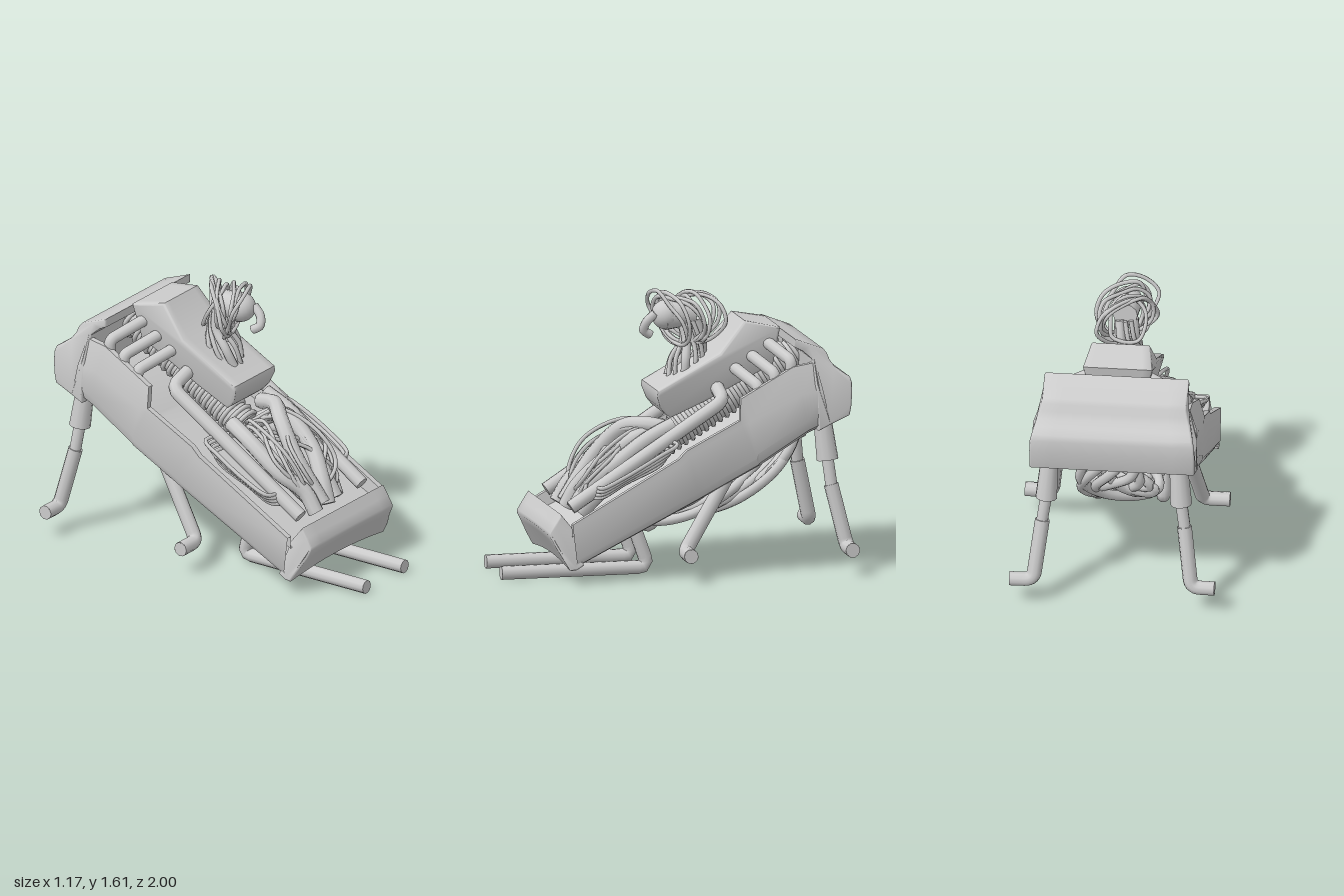
import * as THREE from 'three';
import { toCreasedNormals } from 'three/addons/utils/BufferGeometryUtils.js';

const mat = new THREE.MeshStandardMaterial({ color: 0xcccccc, side: THREE.DoubleSide });
const V = (p) => new THREE.Vector3(...p);
const smooth = THREE.MathUtils.smoothstep;

let seed = 7;
const rand = () => (seed = (seed * 16807) % 2147483647) / 2147483647;
const spread = (r) => (rand() * 2 - 1) * r;

function add(parent, geometry, name) {
  const mesh = new THREE.Mesh(geometry, mat);
  mesh.name = name;
  parent.add(mesh);
  return mesh;
}

// Tube along any curve, with flat end caps
function tube(parent, curve, radius, name, segments = 28, sides = 8, closed = false) {
  const mesh = add(parent, new THREE.TubeGeometry(curve, segments, radius, sides, closed), name);
  if (closed) return mesh;
  for (const t of [0, 1]) {
    const cap = add(mesh, new THREE.CircleGeometry(radius, sides), name + 'Cap');
    const p = curve.getPointAt(t);
    cap.position.copy(p);
    cap.lookAt(p.clone().addScaledVector(curve.getTangentAt(t), t ? 1 : -1));
  }
  return mesh;
}
const cable = (parent, points, radius, name) =>
  tube(parent, new THREE.CatmullRomCurve3(points.map(V)), radius, name, 36, radius < 0.02 ? 6 : 9);

// Straight pipe runs joined by short elbows
function pipe(parent, points, radius, name, elbow = 0.06) {
  const p = points.map(V), path = new THREE.CurvePath();
  let from = p[0];
  for (let i = 1; i < p.length - 1; i++) {
    const a = p[i].clone().add(p[i - 1].clone().sub(p[i]).setLength(elbow));
    const b = p[i].clone().add(p[i + 1].clone().sub(p[i]).setLength(elbow));
    path.add(new THREE.LineCurve3(from, a));
    path.add(new THREE.QuadraticBezierCurve3(a, p[i], b));
    from = b;
  }
  path.add(new THREE.LineCurve3(from, p[p.length - 1]));
  return tube(parent, path, radius, name, 40, 10);
}

function rod(parent, a, b, ra, rb, name) {
  const A = V(a), B = V(b), d = B.clone().sub(A);
  const m = add(parent, new THREE.CylinderGeometry(rb, ra, d.length(), 12), name);
  m.position.copy(A).lerp(B, 0.5);
  m.quaternion.setFromUnitVectors(new THREE.Vector3(0, 1, 0), d.normalize());
  return m;
}

// Side profile of [z, y] points extruded across x; halfWidth(z, y) shapes its sides, bow lifts its middle
function block(parent, profile, halfWidth, bevel, name, bow = 0) {
  const shape = new THREE.Shape(profile.map(([z, y]) => new THREE.Vector2(z, y)));
  const g = new THREE.ExtrudeGeometry(shape, {
    depth: 2 - 2 * bevel, steps: 8, bevelSize: bevel, bevelThickness: bevel * 2, bevelOffset: -bevel, bevelSegments: 3,
  });
  g.translate(0, 0, -(1 - bevel)).rotateY(-Math.PI / 2);
  const pos = g.attributes.position;
  for (let i = 0; i < pos.count; i++) {
    const u = pos.getX(i) / (1 + bevel), y = pos.getY(i);
    pos.setX(i, u * halfWidth(pos.getZ(i), y));
    pos.setY(i, y + bow * (1 - u * u) * smooth(0.36 - y, 0, 0.25));
  }
  return add(parent, toCreasedNormals(g, 0.75), name);
}

// Open tub lofted through U-shaped sections: [bottom z, y, top z, y, floor fraction, shoulder fraction, top half width]
function tub(parent) {
  const w = 0.468;
  const stations = [
    [0.62, 0.09, 0.65, 0.35, 0.7, 0.9, w], [-0.11, 0.455, 0.03, 0.70, 0.58, 0.9, w], [-0.16, 0.48, -0.02, 0.75, 0.55, 0.9, w],
    [-0.45, 0.63, -0.33, 0.91, 0.5, 0.9, w], [-0.46, 0.635, -0.34, 1.03, 0.4, 0.65, 0.44], [-0.74, 0.81, -0.65, 1.2, 0.43, 0.6, 0.43],
    [-0.86, 0.865, -0.78, 1.22, 0.45, 0.55, 0.425],
  ];
  const rings = stations.map(([bz, by, tz, ty, f, s, t]) => {
    const half = [[0.40, 0], [0.445, 0.06], [w, 0.2], [w, s], [t, 1], [t - 0.035, 1], [t - 0.04, f]];
    const full = [...half, ...half.map(([x, h]) => [-x, h]).reverse()];
    return full.map(([x, h]) => [x, by + (ty - by) * h, bz + (tz - bz) * h]);
  });
  const out = [];
  for (let i = 0; i < rings.length - 1; i++) {
    const n = rings[i].length;
    for (let j = 0; j < n; j++) {
      const k = (j + 1) % n;
      const a = rings[i][j], b = rings[i][k], c = rings[i + 1][k], d = rings[i + 1][j];
      out.push(...a, ...d, ...c, ...a, ...c, ...b);
    }
  }
  const g = new THREE.BufferGeometry();
  g.setAttribute('position', new THREE.Float32BufferAttribute(out, 3));
  add(parent, toCreasedNormals(g, 0.6), 'hullTub');
}

function group(parent, name) {
  const g = new THREE.Group();
  g.name = name;
  parent.add(g);
  return g;
}

export function createModel() {
  const model = new THREE.Group();
  model.name = 'cableWalker';

  // Hull with flared front lip and hooked rear hood
  const hull = group(model, 'hull');
  tub(hull);
  block(hull, [[0.70, 0.40], [0.62, 0.30], [0.58, 0.11], [0.62, 0.085], [0.66, 0.08], [0.70, 0.15], [0.74, 0.225],
    [0.765, 0.275], [0.765, 0.295], [0.735, 0.345]],
  (z, y) => 0.40 + 0.06 * smooth(0.29 - y, 0, 0.2) * smooth(0.79 - z, 0, 0.1), 0.012, 'frontLip', 0.03);
  block(hull, [[-0.66, 1.36], [-0.66, 1.31], [-0.71, 1.285], [-0.76, 1.24], [-0.77, 1.1], [-0.79, 0.83], [-0.86, 0.865], [-0.97, 0.914],
    [-0.98, 0.96], [-0.985, 1.03], [-0.985, 1.1], [-0.975, 1.135], [-0.93, 1.165], [-0.89, 1.195], [-0.865, 1.23], [-0.85, 1.27],
    [-0.83, 1.295], [-0.75, 1.325]],
  (z, y) => 0.413 + 0.058 * smooth(1.29 - y, 0, 0.22), 0.012, 'rearHood');

  // Central housing and its ribbed core
  block(model, [[0.085, 1.05], [0.09, 1.02], [0.065, 0.95], [0.035, 0.912], [0, 0.885], [-0.2, 0.97], [-0.6, 1.17], [-0.63, 1.39],
    [-0.43, 1.43], [-0.28, 1.25]],
  (z, y) => 0.2 - 0.25 * Math.abs(y - 1.08 + 0.5 * z), 0.015, 'housing');
  const core = group(model, 'ribbedCore');
  rod(core, [0, 0.73, 0.02], [0, 1.22, -0.78], 0.09, 0.09, 'coreShaft');
  for (let i = 0; i < 20; i++) {
    const ring = add(core, new THREE.TorusGeometry(0.092, 0.014, 6, 20), 'coreRib');
    ring.position.set(0, 0.74 + i * 0.0245, 0.004 - i * 0.04);
    ring.rotation.x = 0.55;
  }

  for (const s of [1, -1]) {
    const side = group(model, s > 0 ? 'leftSide' : 'rightSide');
    // Three short ribs and one long pipe from the housing
    for (const [y, z] of [[1.3, -0.56], [1.23, -0.465], [1.16, -0.37]]) {
      pipe(side, [[s * 0.14, y + 0.01, z + 0.01], [s * 0.39, y - 0.07, z - 0.085], [s * 0.395, y - 0.25, z - 0.09]], 0.034, 'ribPipe', 0.03);
    }
    pipe(side, [[s * 0.15, 1.05, -0.27], [s * 0.31, 1.0, -0.27], [s * 0.298, 0.42, 0.62]], 0.04, 'longPipe');
    // Thin cables bundled along the wall
    for (let i = 0; i < 4; i++) {
      const d = i * 0.02;
      cable(side, [[s * 0.31, 0.78 - d, 0.03 + d], [s * (0.39 - d * 0.2), 0.77 - d, 0.02 + d], [s * (0.415 - d * 0.4), 0.72 - d, 0.12],
        [s * (0.42 - d * 0.6), 0.61 - d * 0.8, 0.32], [s * (0.39 - d * 0.6), 0.54 - d, 0.45], [s * 0.3, 0.53 - d, 0.47 + d * 0.5]], 0.012, 'wallCable');
    }
    // Rear leg: socket, piston, shin and outward foot
    const rear = group(side, 'rearLeg');
    rod(rear, [s * 0.365, 0.92, -0.83], [s * 0.385, 0.65, -0.86], 0.05, 0.062, 'socket');
    rod(rear, [s * 0.385, 0.66, -0.86], [s * 0.41, 0.48, -0.88], 0.034, 0.034, 'piston');
    pipe(rear, [[s * 0.405, 0.51, -0.876], [s * 0.45, 0.155, -0.957], [s * 0.585, 0.155, -0.96]], 0.042, 'shinAndFoot', 0.05);
    // Middle and front legs
    pipe(side, [[s * 0.38, 0.57, -0.27], [s * 0.43, 0.16, -0.015], [s * 0.585, 0.16, -0.015]], 0.042, 'middleLeg', 0.05);
    pipe(side, [[s * 0.185, 0.38, 0.26], [s * 0.185, 0.04, 0.14], [s * 0.185, 0.04, 1]], 0.04, 'frontLeg');
  }

  // Thick cables spilling from under the housing
  const tangle = group(model, 'cableTangle');
  for (const path of [
    [[0.18, 0.82, 0.0], [0.13, 0.85, 0.13], [0.02, 0.82, 0.25], [-0.05, 0.66, 0.4], [-0.03, 0.4, 0.58]],
    [[0.05, 0.72, 0.0], [0.15, 0.79, 0.17], [0.13, 0.66, 0.38], [0.05, 0.5, 0.52], [0.02, 0.38, 0.58]],
    [[0.22, 0.86, 0.0], [0.23, 0.78, 0.16], [0.21, 0.64, 0.34], [0.13, 0.5, 0.48], [0.12, 0.38, 0.56]],
    [[-0.15, 0.8, 0.03], [-0.2, 0.74, 0.2], [-0.2, 0.6, 0.4], [-0.13, 0.49, 0.53], [-0.12, 0.38, 0.6]],
    [[0.16, 0.7, 0.08], [0.22, 0.66, 0.25], [0.22, 0.5, 0.42], [0.17, 0.37, 0.53]],
    [[-0.1, 0.74, 0.05], [-0.08, 0.7, 0.24], [-0.12, 0.54, 0.42], [-0.06, 0.4, 0.55]],
  ]) cable(tangle, path, 0.046, 'thickCable');
  // Thin cables draped over them
  for (let i = 0; i < 14; i++) {
    const s = i % 2 ? 1 : -1, lift = spread(0.06), cross = i % 3 ? s : -s;
    cable(tangle, [[s * 0.06 + spread(0.08), 0.74, 0.02], [s * 0.12 + spread(0.09), 0.81 + lift * 0.6, 0.17],
      [cross * 0.16 + spread(0.08), 0.69 + lift, 0.38 + spread(0.05)], [cross * 0.12 + spread(0.1), 0.53 + lift, 0.52],
      [spread(0.14), 0.41, 0.54]], 0.012, 'thinCable');
  }

  // Twisted cables slung beneath the hull
  const belly = group(model, 'bellyCables');
  const sling = [[0.4, 0.14], [0.36, 0.03], [0.36, -0.13], [0.4, -0.3], [0.47, -0.46], [0.57, -0.6], [0.68, -0.68], [0.84, -0.72]];
  for (let i = 0; i < 8; i++) {
    const phase = i * Math.PI / 4, r = 0.07 + 0.04 * (i % 2);
    cable(belly, sling.map(([y, z], k) => {
      const a = phase + k * (0.8 + 0.1 * (i % 3));
      return [Math.cos(a) * r * 1.9, y + Math.sin(a) * r * 0.75, z + Math.sin(a) * r * -0.6];
    }), 0.029, 'bellyCable');
  }

  // Head: capsule eye on a cable neck, wrapped in loops
  const head = group(model, 'head');
  rod(head, [0, 1.45, 0.0], [0, 1.46, -0.17], 0.085, 0.07, 'eyeBarrel');
  const eye = add(head, new THREE.SphereGeometry(0.085, 20, 14), 'eyeBall');
  eye.position.set(0, 1.455, -0.01);
  cable(head, [[0.03, 1.47, 0.06], [0.02, 1.42, 0.11], [0, 1.37, 0.12], [-0.01, 1.34, 0.08]], 0.026, 'eyeHook');
  for (let i = 0; i < 9; i++) {
    const r = 0.115 + 0.04 * rand(), tilt = 1.2 + spread(1.1), depth = 0.06 + 0.08 * rand(), cz = -0.1 + spread(0.1), cx = spread(0.02);
    const pts = [];
    for (let k = 0; k < 9; k++) {
      const a = k / 9 * Math.PI * 2, q = r + spread(0.02);
      pts.push(new THREE.Vector3(cx + Math.cos(a) * q, 1.43 + Math.sin(a) * q, cz + depth * Math.sin(a - tilt)));
    }
    tube(head, new THREE.CatmullRomCurve3(pts, true), 0.012, 'headLoop', 50, 6, true);
  }
  for (let i = 0; i < 9; i++) {
    const a = i / 9 * Math.PI * 2, thick = i % 3 === 0;
    const ring = (r, y, z, t) => [Math.cos(a + t) * r, y, z + Math.sin(a + t) * r];
    cable(head, [ring(0.08, 1.1, -0.1, 0), ring(0.09, 1.2, -0.13, 0.3), ring(0.06, 1.31, -0.16, 0.8), ring(0.05, 1.43, -0.14, 1.2)],
      thick ? 0.026 : 0.014, 'neckCable');
  }
  return model;
}
